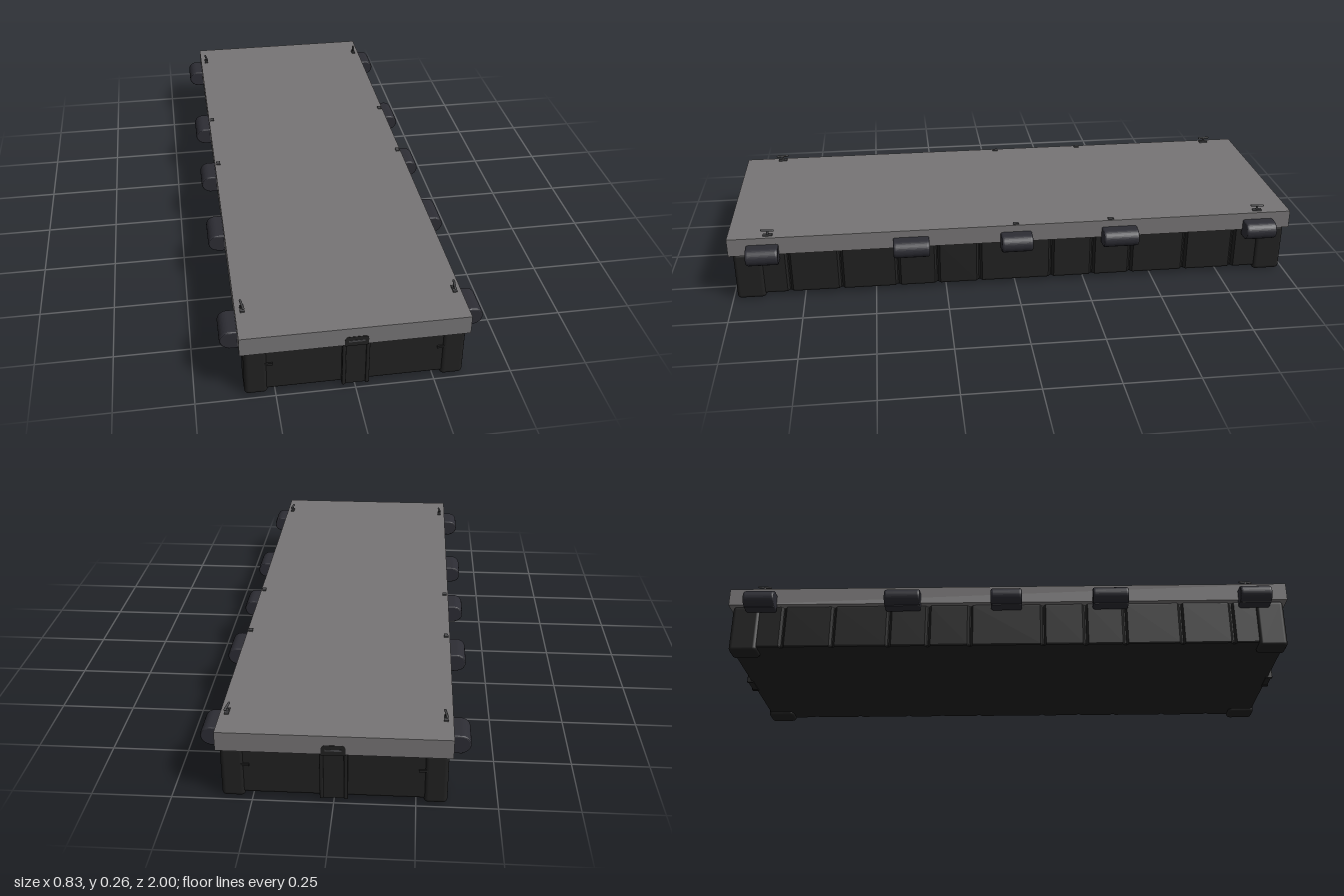
import * as THREE from 'three';
import { RoundedBoxGeometry } from 'three/addons/geometries/RoundedBoxGeometry.js';

const mat = (name, color) => Object.assign(new THREE.MeshStandardMaterial({ color }), { name });

export function createModel() {
  const deckGrey = mat('deckGrey', 0x777576);
  const hullBlack = mat('hullBlack', 0x212121);
  const bumperSlate = mat('bumperSlate', 0x2d2d34);
  const cleatMetal = mat('cleatMetal', 0x48484a);

  const model = new THREE.Group();
  model.name = 'floatingDock';
  const add = (name, geometry, material, x = 0, y = 0, z = 0, parent = model) => {
    const mesh = new THREE.Mesh(geometry, material);
    mesh.name = name;
    mesh.position.set(x, y, z);
    parent.add(mesh);
    return mesh;
  };
  const box = (w, h, d) => new THREE.BoxGeometry(w, h, d);

  // Deck slab
  add('deck', box(0.714, 0.064, 1.996), deckGrey, -0.001, 0.207, 0);

  // Hull: plan outline with shallow vertical grooves down both long sides
  const grooves = [-0.8, -0.62, -0.42, -0.28, -0.13, 0.13, 0.28, 0.42, 0.62, 0.8];
  const side = [[0.332, -0.972]];
  for (const z of grooves) {
    side.push([0.332, z - 0.014], [0.322, z - 0.006], [0.322, z + 0.006], [0.332, z + 0.014]);
  }
  side.push([0.332, 0.972]);
  const outline = [...side, ...side.map(([x, z]) => [-x, -z])];
  const hullShape = new THREE.Shape(outline.map(([x, z]) => new THREE.Vector2(x, z)));
  const hullGeo = new THREE.ExtrudeGeometry(hullShape, {
    depth: 0.148, bevelEnabled: true, bevelThickness: 0.008, bevelSize: 0.008, bevelSegments: 2,
  });
  hullGeo.rotateX(-Math.PI / 2);
  add('hull', hullGeo, hullBlack, 0, 0.022, 0);

  // Rounded corner legs, end columns and recessed end grips
  for (const s of [1, -1]) {
    for (const e of [1, -1]) {
      add('cornerLeg', new RoundedBoxGeometry(0.073, 0.176, 0.1, 3, 0.014), hullBlack, s * 0.3095, 0.088, e * 0.935);
      add('endGrip', box(0.026, 0.008, 0.008), hullBlack, s * 0.27, 0.117, e * 0.981);
    }
  }
  for (const e of [1, -1]) {
    const column = new THREE.Group();
    column.name = 'endColumn';
    column.rotation.y = e > 0 ? 0 : Math.PI;
    model.add(column);
    add('columnWeb', box(0.066, 0.164, 0.02), hullBlack, 0, 0.094, 0.98, column);
    for (const s of [1, -1]) {
      add('columnRail', new RoundedBoxGeometry(0.012, 0.168, 0.026, 2, 0.004), hullBlack, s * 0.037, 0.094, 0.982, column);
    }
    // Arched cap over the edge of the deck, with a pale latch bar
    const cap = new THREE.Shape();
    cap.moveTo(-0.037, 0.172);
    cap.lineTo(0.037, 0.172);
    cap.lineTo(0.037, 0.193);
    cap.quadraticCurveTo(0.037, 0.207, 0.023, 0.207);
    cap.lineTo(-0.023, 0.207);
    cap.quadraticCurveTo(-0.037, 0.207, -0.037, 0.193);
    add('columnCap', new THREE.ExtrudeGeometry(cap, { depth: 0.004, bevelEnabled: false }), hullBlack, 0, 0, 0.995, column);
    add('latchBar', box(0.05, 0.006, 0.002), cleatMetal, 0, 0.19, 0.999, column);
  }

  // Bumpers: half-round profile run along each side
  const profile = new THREE.Shape();
  profile.moveTo(0.35, 0.155);
  profile.lineTo(0.382, 0.155);
  profile.absarc(0.382, 0.183, 0.026, -Math.PI / 2, Math.PI / 2, false);
  profile.lineTo(0.35, 0.209);
  const bumpers = [[-0.88, 0.11], [-0.37, 0.126], [0, 0.11], [0.37, 0.126], [0.88, 0.11]];
  for (const [z, length] of bumpers) {
    const geo = new THREE.ExtrudeGeometry(profile, {
      depth: length - 0.016, bevelEnabled: true, bevelThickness: 0.008, bevelSize: 0.005, bevelSegments: 3, curveSegments: 10,
    });
    geo.translate(0, 0, -(length - 0.016) / 2);
    add('bumperLeft', geo, bumperSlate, 0, 0, z);
    add('bumperRight', geo, bumperSlate, 0, 0, z).rotation.y = Math.PI;
  }

  // Small deck cleats near the corners, and flush clips at mid length
  for (const s of [1, -1]) {
    for (const z of [-0.88, 0.86]) {
      const cleat = new THREE.Group();
      cleat.name = 'cleat';
      cleat.position.set(s * 0.335, 0.238, z);
      model.add(cleat);
      add('cleatBase', box(0.014, 0.006, 0.032), cleatMetal, 0, 0.003, 0, cleat);
      add('cleatPost', new THREE.CylinderGeometry(0.004, 0.005, 0.016, 8), cleatMetal, 0, 0.01, 0, cleat);
      const horn = add('cleatHorn', new THREE.CapsuleGeometry(0.004, 0.04, 3, 8), cleatMetal, 0, 0.02, 0, cleat);
      horn.rotation.set(Math.PI / 2, 0, s * 0.15);
    }
    for (const z of [-0.34, 0]) add('deckClip', box(0.014, 0.006, 0.02), cleatMetal, s * 0.345, 0.24, z);
  }
  return model;
}
